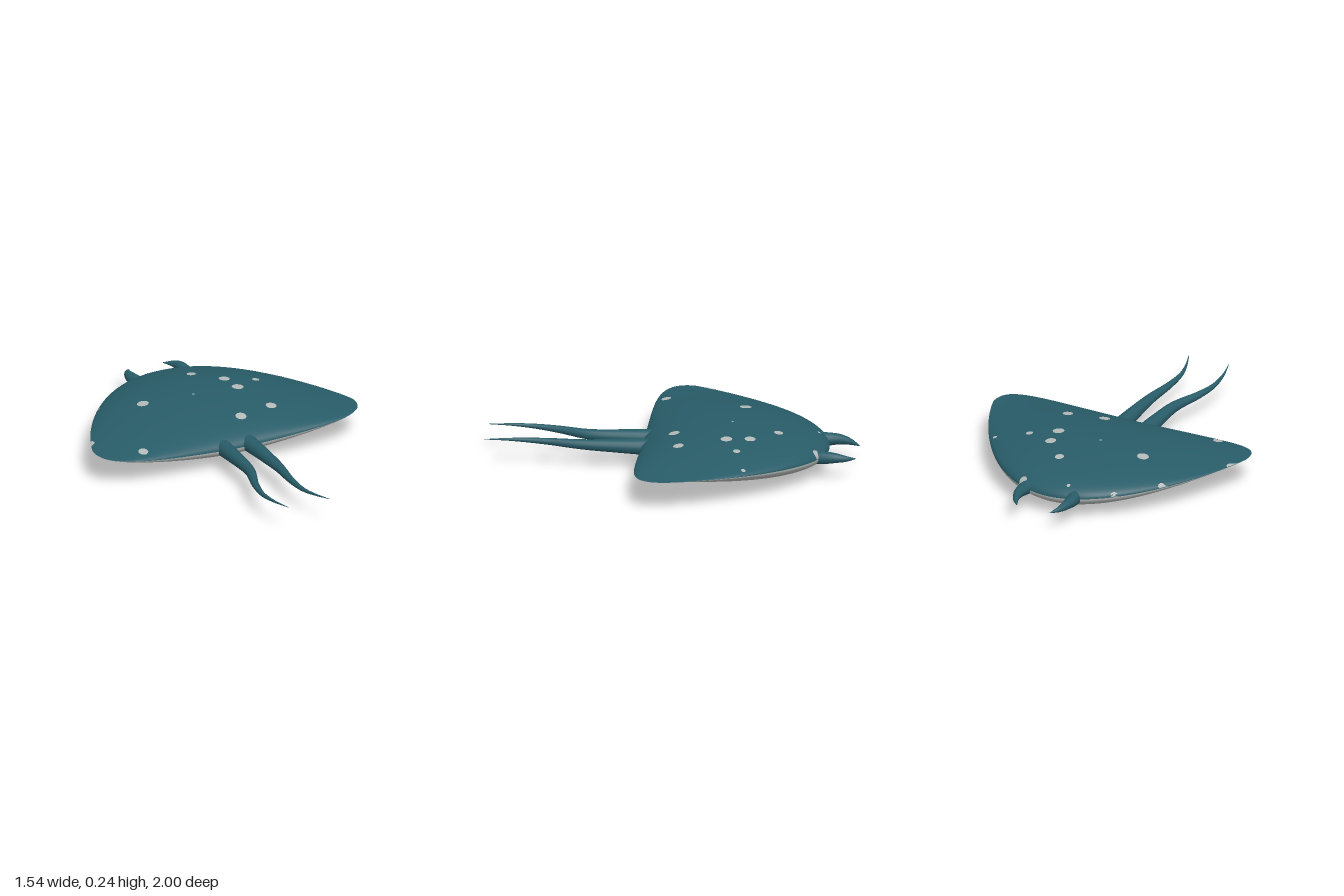
import * as THREE from 'three';

const SPAN = 0.77;
const TIP_Z = -0.03;

// Chordwise section of the body at a given x: centre, half chord, rim height, half thickness
function section(x) {
  const u = Math.min(Math.abs(x) / SPAN, 1);
  const head = TIP_Z - 0.815 * Math.pow(1 - u * u, 0.85);
  const rear = TIP_Z + 0.187 * Math.pow(1 - Math.pow(u, 6), 0.35);
  return {
    mid: (head + rear) / 2,
    half: (rear - head) / 2,
    rim: 0.12 + 0.053 * Math.pow(u, 1.6),
    thick: 0.12 * Math.pow(1 - u * u, 1.4),
  };
}

// Upper (side = 1) or lower (side = -1) skin of the disc
function skin(side) {
  const nx = 96, nz = 48, pos = [], index = [];
  for (let i = 0; i <= nx; i++) {
    const x = SPAN * Math.sin((i / nx - 0.5) * Math.PI);
    const s = section(x);
    for (let j = 0; j <= nz; j++) {
      const a = (j / nz) * Math.PI;
      pos.push(x, s.rim + side * s.thick * Math.sin(a), s.mid - s.half * Math.cos(a));
    }
  }
  const row = nz + 1;
  for (let i = 0; i < nx; i++) {
    for (let j = 0; j < nz; j++) {
      const a = i * row + j, b = a + 1, c = a + row, d = c + 1;
      if (side > 0) index.push(a, b, c, b, d, c);
      else index.push(a, c, b, b, c, d);
    }
  }
  const geo = new THREE.BufferGeometry();
  geo.setAttribute('position', new THREE.Float32BufferAttribute(pos, 3));
  geo.setIndex(index);
  geo.computeVertexNormals();
  return geo;
}

// Thin round patch draped over the upper skin
function patch(x, z, r) {
  const geo = new THREE.RingGeometry(0, r, 14, 4).rotateX(-Math.PI / 2).translate(x, 0, z);
  const p = geo.attributes.position;
  for (let i = 0; i < p.count; i++) {
    const px = THREE.MathUtils.clamp(p.getX(i), -SPAN * 0.998, SPAN * 0.998);
    const s = section(px);
    const t = THREE.MathUtils.clamp((p.getZ(i) - s.mid) / s.half, -1, 1);
    p.setXYZ(i, px, s.rim + s.thick * Math.sqrt(1 - t * t) + 0.003, s.mid + t * s.half);
  }
  geo.computeVertexNormals();
  return geo;
}

// Tube along a smooth path whose radius follows a rule
function taperedTube(points, radius) {
  const curve = new THREE.CatmullRomCurve3(points.map((p) => new THREE.Vector3(...p)));
  const seg = 40, sides = 16;
  const geo = new THREE.TubeGeometry(curve, seg, 1, sides);
  const p = geo.attributes.position, v = new THREE.Vector3();
  for (let i = 0; i <= seg; i++) {
    const c = curve.getPointAt(i / seg);
    for (let j = 0; j <= sides; j++) {
      const k = i * (sides + 1) + j;
      v.fromBufferAttribute(p, k).sub(c).multiplyScalar(radius(i / seg)).add(c);
      p.setXYZ(k, v.x, v.y, v.z);
    }
  }
  return geo;
}

export function createModel() {
  const teal = new THREE.MeshStandardMaterial({ color: 0x285c68 });
  teal.name = 'deep teal';
  const pale = new THREE.MeshStandardMaterial({ color: 0xb4bab8 });
  pale.name = 'pale grey';

  const model = new THREE.Group();
  model.name = 'ray';
  const add = (name, geo, mat) => {
    const mesh = new THREE.Mesh(geo, mat);
    mesh.name = name;
    model.add(mesh);
  };

  // Body
  add('back', skin(1), teal);
  add('belly', skin(-1), pale);

  // Spots: x, z, radius
  [
    [-0.35, -0.73, 0.035], [-0.525, -0.52, 0.023], [-0.32, -0.36, 0.032],
    [-0.745, -0.14, 0.032], [-0.53, 0.09, 0.027], [0.07, -0.58, 0.025],
    [0.2, -0.44, 0.03], [0.36, -0.385, 0.02], [0.22, -0.315, 0.032],
    [0.3, -0.065, 0.029], [0.1, -0.02, 0.03], [0.54, -0.44, 0.012],
    [0.175, -0.8, 0.024], [-0.095, -0.78, 0.01], [-0.04, -0.32, 0.007],
  ].forEach(([x, z, r]) => add('spot', patch(x, z, r), pale));

  // Two wavy tails
  const tailRadius = (t) => 0.046 * (1 - t) + 0.001;
  add('rightTail', taperedTube([
    [-0.075, 0.122, 0.08], [-0.068, 0.125, 0.25], [-0.07, 0.128, 0.45], [-0.12, 0.133, 0.63],
    [-0.14, 0.138, 0.76], [-0.13, 0.146, 0.88], [-0.1, 0.155, 1],
  ], tailRadius), teal);
  add('leftTail', taperedTube([
    [0.075, 0.122, 0.08], [0.085, 0.125, 0.28], [0.09, 0.128, 0.48], [0.077, 0.133, 0.66],
    [0.081, 0.138, 0.8], [0.105, 0.146, 0.9], [0.143, 0.155, 1],
  ], tailRadius), teal);

  // Curved head horns, mirrored
  for (const s of [1, -1]) {
    add(s > 0 ? 'leftHorn' : 'rightHorn', taperedTube([
      [s * 0.135, 0.122, -0.76], [s * 0.147, 0.124, -0.83], [s * 0.148, 0.124, -0.89],
      [s * 0.133, 0.116, -0.95], [s * 0.1, 0.107, -1],
    ], (t) => 0.038 * (1 - Math.pow(t, 1.8)) + 0.001), teal);
  }
  return model;
}
